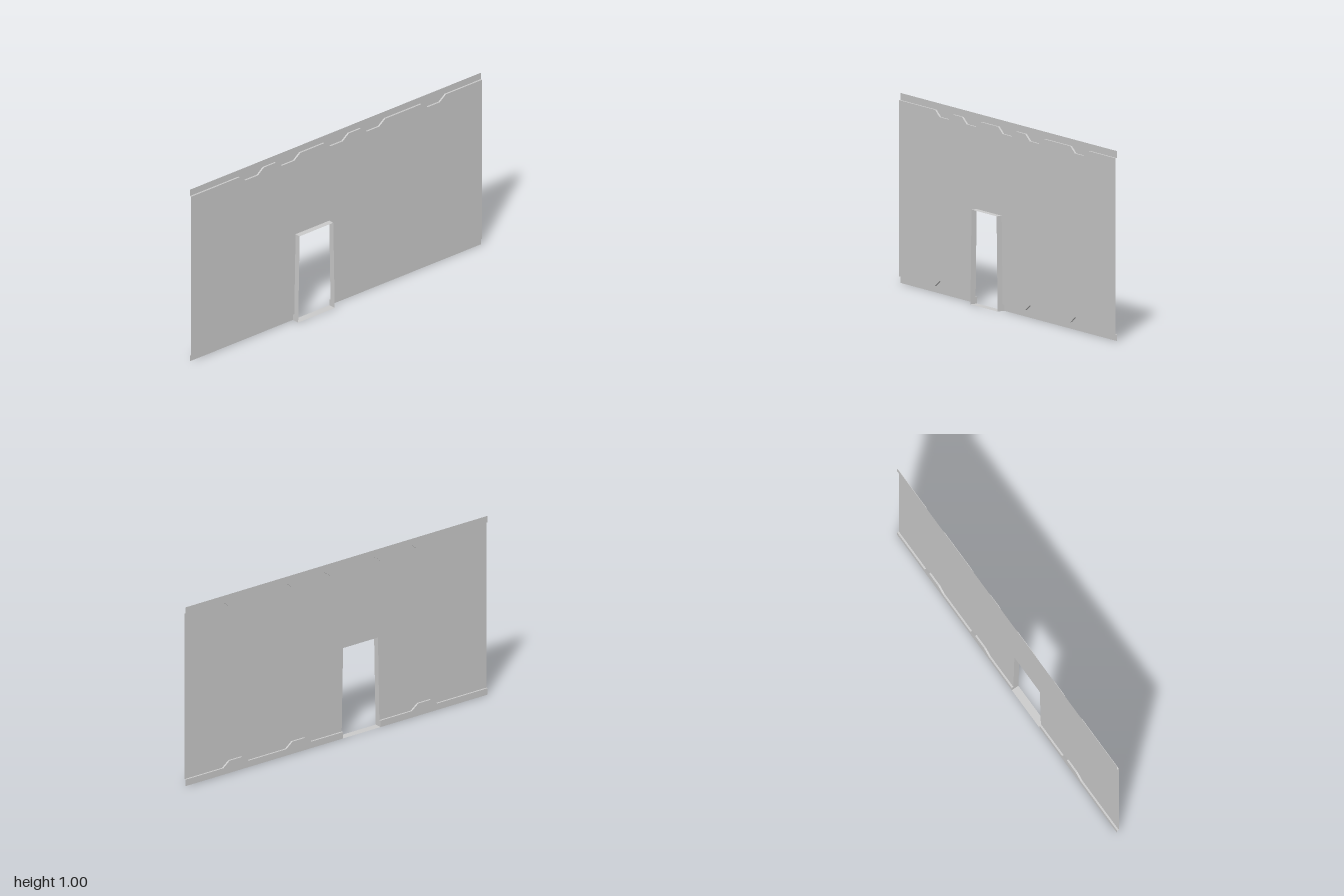
import * as THREE from 'three';

const FRONT = 0.021, PANEL = -0.011, BAND = -0.021; // depths of frame, main panel, edge bands
const TOP = 1, UPPER = 0.963, LOWER = 0.036, NOTCH = 0.032, DOOR_H = 0.5;
const mat = new THREE.MeshStandardMaterial({ color: 0xcccccc, side: THREE.DoubleSide, flatShading: true });

// Slanted door jambs
const jambL = (y) => -0.292 + 0.01 * y / DOOR_H;
const jambR = (y) => -0.041 - 0.01 * y / DOOR_H;

// Stepped line from x0 to x1 at height y with trapezoid notches of height dy
function steppedLine(x0, x1, y, dy, centres) {
  const pts = [[x0, y]];
  for (const c of centres) pts.push([c - 0.084, y], [c - 0.042, y + dy], [c + 0.042, y + dy], [c + 0.084, y]);
  pts.push([x1, y]);
  return pts;
}

function sheet(name, pts, z) {
  const shape = new THREE.Shape(pts.map(([x, y]) => new THREE.Vector2(x, y)));
  const mesh = new THREE.Mesh(new THREE.ShapeGeometry(shape), mat);
  mesh.position.z = z;
  mesh.name = name;
  return mesh;
}

// Strip that runs along a line in x, y and spans depth z0 to z1
function ledge(name, pts, z0, z1) {
  const pos = [], index = [];
  pts.forEach(([x, y], i) => {
    pos.push(x, y, z0, x, y, z1);
    if (i) {
      const a = 2 * i - 2;
      index.push(a, a + 1, a + 2, a + 1, a + 3, a + 2);
    }
  });
  const geo = new THREE.BufferGeometry();
  geo.setAttribute('position', new THREE.Float32BufferAttribute(pos, 3));
  geo.setIndex(index);
  geo.computeVertexNormals();
  const mesh = new THREE.Mesh(geo, mat);
  mesh.name = name;
  return mesh;
}

export function createModel() {
  const wall = new THREE.Group();
  wall.name = 'wallWithDoorway';

  const upper = steppedLine(-1, 1, UPPER, -NOTCH, [-0.583, -0.333, 0, 0.25, 0.667]);
  const lowerRight = steppedLine(-1, jambL(LOWER), LOWER, NOTCH, [-0.583]);
  const lowerLeft = steppedLine(jambR(LOWER), 1, LOWER, NOTCH, [0.25, 0.667]);
  const doorHead = [[jambL(DOOR_H), DOOR_H], [jambR(DOOR_H), DOOR_H]];

  // Main panel around the doorway
  wall.add(sheet('mainPanel', [...lowerRight, ...doorHead, ...lowerLeft, ...[...upper].reverse()], PANEL));

  // Recessed bands along the top and bottom
  wall.add(sheet('topBand', [...upper, [1, TOP], [-1, TOP]], BAND));
  wall.add(sheet('bottomBandRight', [[-1, 0], [jambL(0), 0], ...[...lowerRight].reverse()], BAND));
  wall.add(sheet('bottomBandLeft', [[jambR(0), 0], [1, 0], ...[...lowerLeft].reverse()], BAND));

  // Steps joining the bands to the panel
  wall.add(ledge('topStep', upper, BAND, PANEL));
  wall.add(ledge('bottomStepRight', lowerRight, BAND, PANEL));
  wall.add(ledge('bottomStepLeft', lowerLeft, BAND, PANEL));

  // Door frame: jambs and head, deeper at the foot, plus the sill
  const frame = new THREE.Group();
  frame.name = 'doorFrame';
  frame.add(ledge('jambsAndHead', [[jambL(LOWER), LOWER], ...doorHead, [jambR(LOWER), LOWER]], PANEL, FRONT));
  frame.add(ledge('footRight', [[jambL(0), 0], [jambL(LOWER), LOWER]], BAND, FRONT));
  frame.add(ledge('footLeft', [[jambR(LOWER), LOWER], [jambR(0), 0]], BAND, FRONT));
  frame.add(ledge('sill', [[jambR(0), 0], [jambL(0), 0]], BAND, FRONT));
  wall.add(frame);

  return wall;
}
